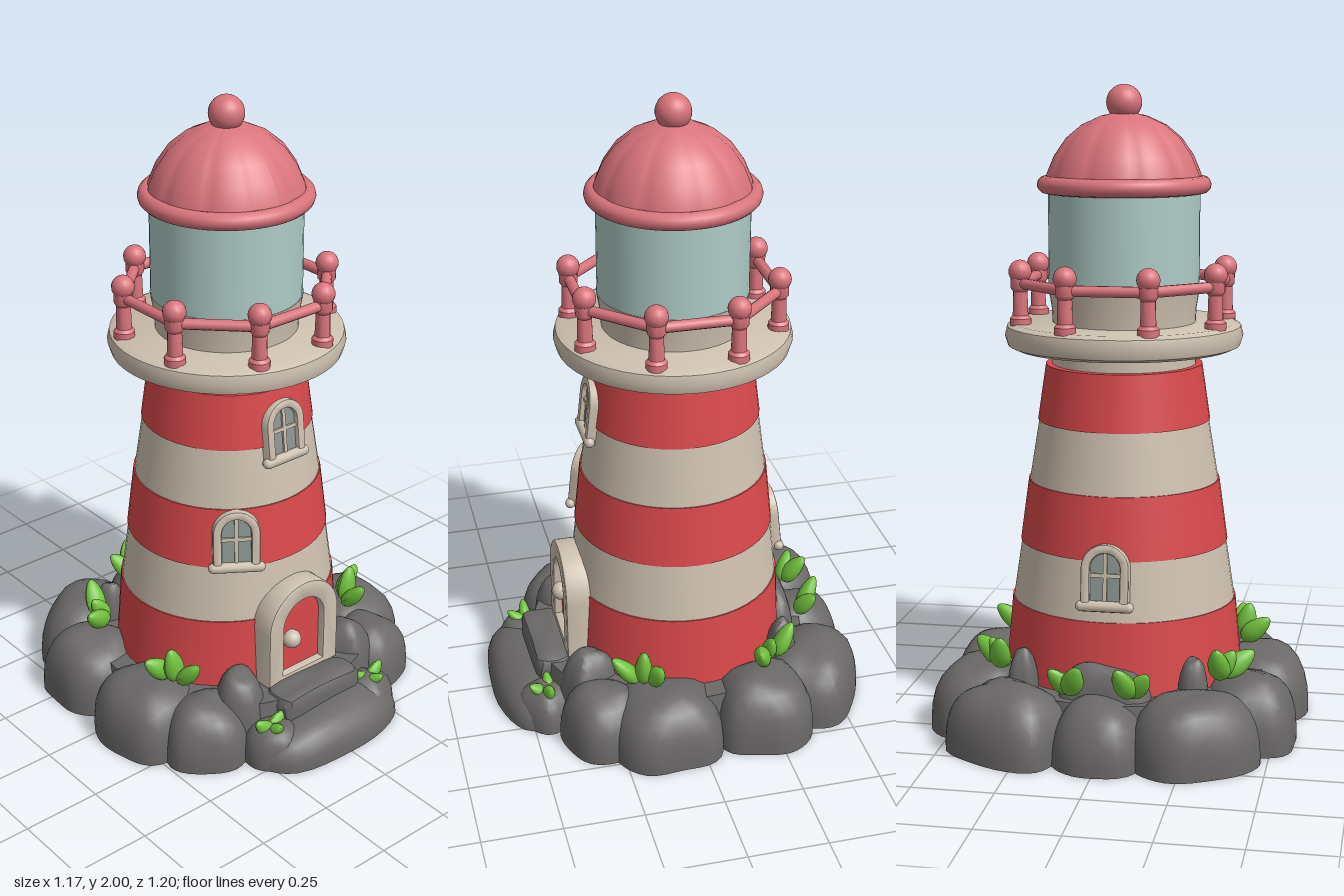
import * as THREE from 'three';
import { mergeVertices, toCreasedNormals } from 'three/addons/utils/BufferGeometryUtils.js';

const mat = (name, color, side = THREE.FrontSide) => {
  const m = new THREE.MeshStandardMaterial({ color, side });
  m.name = name;
  return m;
};

export function createModel() {
  const red = mat('red paint', 0xd9484b);
  const pink = mat('roof pink', 0xd9747c);
  const cream = mat('cream stone', 0xcdc0af);
  const glass = mat('lantern glass', 0xaecbc5);
  const pane = mat('window pane', 0x8c9591);
  const rock = mat('rock grey', 0x6b6968);
  const green = mat('leaf green', 0x72c13e);

  const model = new THREE.Group();
  model.name = 'lighthouse';
  const tower = new THREE.Group();
  tower.name = 'tower';
  tower.position.z = -0.022;
  model.add(tower);

  const add = (parent, name, geo, material, x = 0, y = 0, z = 0) => {
    const m = new THREE.Mesh(geo, material);
    m.name = name;
    m.position.set(x, y, z);
    parent.add(m);
    return m;
  };
  const lathe = (pts, seg = 48) => toCreasedNormals(
    new THREE.LatheGeometry(pts.map(p => new THREE.Vector2(...p)), seg), 0.6);

  // Striped tapering wall, slightly narrower front to back near the ground
  const depth = y => 0.91 + 0.11 * y;
  const bands = [[0.05, 0.385], [0.4, 0.352], [0.585, 0.324], [0.78, 0.297], [0.97, 0.266], [1.145, 0.24]];
  for (let i = 0; i < bands.length - 1; i++) {
    const [y0, r0] = bands[i], [y1, r1] = bands[i + 1];
    const swell = i % 2 ? 0 : 0.004;
    const g = new THREE.CylinderGeometry(r1 + swell, r0 + swell, y1 - y0, 48);
    g.translate(0, (y0 + y1) / 2, 0);
    const p = g.attributes.position;
    for (let k = 0; k < p.count; k++) p.setZ(k, p.getZ(k) * depth(p.getY(k)));
    add(tower, i % 2 ? 'creamBand' : 'redBand', g, i % 2 ? cream : red);
  }
  add(tower, 'towerNeck', new THREE.CylinderGeometry(0.222, 0.226, 0.1, 48), cream, 0, 1.17);

  // Gallery deck, lantern wall, glass
  add(tower, 'galleryDeck', lathe([[0, 1.195], [0.34, 1.195], [0.362, 1.205], [0.371, 1.235],
    [0.364, 1.265], [0.345, 1.275], [0, 1.275]]), cream);
  add(tower, 'lanternWall', lathe([[0.222, 1.26], [0.225, 1.32], [0.236, 1.385], [0, 1.385]]), cream);
  add(tower, 'lanternGlass', new THREE.CylinderGeometry(0.234, 0.234, 0.32, 48), glass, 0, 1.535);

  // Ribbed dome roof with rim and ball
  const dome = new THREE.LatheGeometry([[0.245, 1.69], [0.238, 1.73], [0.215, 1.785], [0.178, 1.838], [0.13, 1.878],
    [0.07, 1.905], [0, 1.92]].map(p => new THREE.Vector2(...p)), 80);
  const dp = dome.attributes.position;
  for (let k = 0; k < dp.count; k++) {
    const x = dp.getX(k), z = dp.getZ(k);
    const s = 0.965 + 0.035 * Math.sqrt(Math.abs(Math.sin(Math.atan2(z, x) * 5)));
    dp.setX(k, x * s);
    dp.setZ(k, z * s);
  }
  dome.computeVertexNormals();
  add(tower, 'domeRoof', dome, pink);
  add(tower, 'roofRim', new THREE.TorusGeometry(0.241, 0.027, 12, 56).rotateX(Math.PI / 2), pink, 0, 1.697);
  add(tower, 'roofUnderside', new THREE.CylinderGeometry(0.24, 0.24, 0.02, 48), pink, 0, 1.69);
  add(tower, 'roofBall', new THREE.SphereGeometry(0.055, 24, 16), pink, 0, 1.945);

  // Railing of eight posts and rails
  const R = 0.326;
  const postGeo = lathe([[0, 1.27], [0.033, 1.27], [0.033, 1.292], [0.024, 1.302], [0.022, 1.375], [0.029, 1.385],
    [0.029, 1.415], [0, 1.415]], 14);
  const railGeo = new THREE.CylinderGeometry(0.017, 0.017, 2 * R * Math.sin(Math.PI / 8), 10).rotateZ(Math.PI / 2);
  for (let i = 0; i < 8; i++) {
    const a = (i + 0.5) * Math.PI / 4, x = R * Math.sin(a), z = R * Math.cos(a);
    add(tower, 'railPost', postGeo, pink, x, 0, z);
    add(tower, 'railBall', new THREE.SphereGeometry(0.036, 16, 12), pink, x, 1.436, z);
    const b = i * Math.PI / 4, d = R * Math.cos(Math.PI / 8);
    add(tower, 'rail', railGeo, pink, d * Math.sin(b), 1.4, d * Math.cos(b)).rotation.y = b;
  }

  // Round-topped outlines for door and windows
  const arch = (Kind, w, h, y0 = 0) => {
    const s = new Kind();
    s.moveTo(-w, y0);
    s.lineTo(w, y0);
    s.lineTo(w, h);
    s.absarc(0, h, w, 0, Math.PI, false);
    s.lineTo(-w, y0);
    return s;
  };
  const archFrame = (w, inner, h, deep, bevel) => {
    const s = arch(THREE.Shape, w - bevel, h);
    s.holes.push(arch(THREE.Path, inner + bevel, h, 0.004));
    return toCreasedNormals(new THREE.ExtrudeGeometry(s, { depth: deep - bevel, curveSegments: 14,
      bevelSize: bevel, bevelThickness: bevel, bevelSegments: 2 }), 0.6);
  };
  const slab = (w, h, deep) => new THREE.ExtrudeGeometry(arch(THREE.Shape, w, h),
    { depth: deep, bevelEnabled: false, curveSegments: 14 });

  // Door
  const door = new THREE.Group();
  door.name = 'door';
  door.position.set(0, 0.185, 0.27);
  model.add(door);
  add(door, 'doorFrame', archFrame(0.145, 0.083, 0.185, 0.095, 0.01), cream);
  add(door, 'doorPanel', slab(0.09, 0.185, 0.068), red);
  add(door, 'doorKnob', new THREE.SphereGeometry(0.031, 18, 12), cream, -0.04, 0.13, 0.078);

  // Windows: angle round the tower, sill height, wall radius
  for (const [a, y, r] of [[0, 0.915, 0.272], [-0.6, 0.585, 0.318], [Math.PI, 0.445, 0.33]]) {
    const w = new THREE.Group();
    w.name = 'window';
    w.rotation.order = 'YXZ';
    w.rotation.set(-0.11, a, 0);
    w.position.set(r * Math.sin(a), y, r * Math.cos(a));
    tower.add(w);
    add(w, 'windowFrame', archFrame(0.074, 0.046, 0.117, 0.06, 0.007), cream, 0, 0.005, -0.035);
    add(w, 'windowPane', slab(0.052, 0.117, 0.008), pane, 0, 0.005, 0.001);
    add(w, 'mullion', new THREE.BoxGeometry(0.012, 0.16, 0.018), cream, 0, 0.09, 0.007);
    add(w, 'crossbar', new THREE.BoxGeometry(0.1, 0.012, 0.018), cream, 0, 0.1, 0.007);
    add(w, 'windowSill', new THREE.CapsuleGeometry(0.017, 0.146, 4, 10).rotateZ(Math.PI / 2), cream, 0, 0.006, 0.014);
  }

  // Boulders: squared-off blobs, dented by a smooth wave and flat underneath
  const boulder = (name, x, y, z, rx, ry, rz, turn = 0, n = 3.2) => {
    const g = mergeVertices(new THREE.IcosahedronGeometry(1, 5).deleteAttribute('uv').deleteAttribute('normal'));
    const p = g.attributes.position, v = new THREE.Vector3();
    for (let k = 0; k < p.count; k++) {
      v.fromBufferAttribute(p, k);
      const len = (Math.abs(v.x) ** n + Math.abs(v.y) ** n + Math.abs(v.z) ** n) ** (1 / n);
      const dent = 1 - 0.035 * (1 + Math.sin(4 * v.x + 9 * x) * Math.cos(5 * v.z + 7 * z));
      v.multiplyScalar(dent / len);
      p.setXYZ(k, v.x * rx, Math.max(v.y, 0) * ry, v.z * rz);
    }
    add(model, name, toCreasedNormals(g, 0.5), rock, x, y, z).rotation.y = turn;
  };
  add(model, 'rockCore', new THREE.CylinderGeometry(0.45, 0.48, 0.17, 40), rock, 0, 0.085, 0);
  boulder('backRock', 0, 0, -0.44, 0.15, 0.2, 0.165, 0, 2.4);
  boulder('backLedge', 0, 0, -0.36, 0.16, 0.28, 0.07);
  boulder('frontRock', 0, 0, 0.45, 0.29, 0.13, 0.155, 0, 2.6);
  boulder('doorStep', 0, 0.11, 0.41, 0.168, 0.082, 0.065, 0, 6);
  for (const s of [1, -1]) {
    boulder('sideRock', s * 0.285, 0, -0.42, 0.2, 0.22, 0.155, -s * 0.5, 2.8);
    boulder('sideRock', s * 0.42, 0, -0.21, 0.155, 0.225, 0.165, -s * 0.1, 2.8);
    boulder('sideRock', s * 0.42, 0, 0.1, 0.168, 0.215, 0.185, 0, 2.8);
    boulder('sideRock', s * 0.35, 0, 0.29, 0.14, 0.2, 0.135, s * 0.5, 2.6);
    boulder('smallRock', s * 0.2, 0, 0.45, 0.1, 0.13, 0.09, s * 0.6, 2.6);
    boulder('doorRock', s * 0.225, 0, 0.31, 0.085, 0.26, 0.1, s * 0.5, 2.8);
    boulder('smallRock', s * 0.265, 0.1, -0.32, 0.05, 0.2, 0.05, 0, 2.6);
  }

  // Leaves: position x, y, z then the direction the tip points
  const leafGeo = new THREE.SphereGeometry(1, 14, 10);
  const lp = leafGeo.attributes.position;
  for (let k = 0; k < lp.count; k++) {
    const t = 1 - 0.25 * lp.getY(k);
    lp.setXYZ(k, lp.getX(k) * 0.034 * t, lp.getY(k) * 0.062, lp.getZ(k) * 0.026 * t);
  }
  leafGeo.computeVertexNormals();
  const leaves = [
    [0.077, 0.25, -0.47, -0.3, 0.8, -0.5, 1], [0.12, 0.24, -0.45, 0.5, 0.7, -0.4, 0.9],
    [0.34, 0.27, -0.305, -0.1, 0.9, -0.5, 1], [0.39, 0.25, -0.22, 0.8, 0.6, 0.3, 1], [0.355, 0.255, -0.255, 0.5, 0.8, 0, 0.85],
    [0.41, 0.25, 0.13, 0.8, 0.7, -0.1, 0.95], [0.355, 0.25, 0.22, 0, 0.7, 0.6, 1], [0.375, 0.265, 0.165, 0.2, 1, 0, 1],
    [0.185, 0.11, 0.44, -0.7, 0.6, 0, 0.75], [0.235, 0.115, 0.445, 0.7, 0.7, 0, 0.75], [0.21, 0.11, 0.47, 0.2, 0.6, 0.7, 0.75],
  ];
  const up = new THREE.Vector3(0, 1, 0);
  for (const s of [1, -1]) {
    for (const [x, y, z, dx, dy, dz, size] of leaves) {
      const leaf = add(model, 'leaf', leafGeo, green, s * x, y, z);
      leaf.quaternion.setFromUnitVectors(up, new THREE.Vector3(s * dx, dy, dz).normalize());
      leaf.scale.setScalar(size);
    }
  }
  return model;
}
